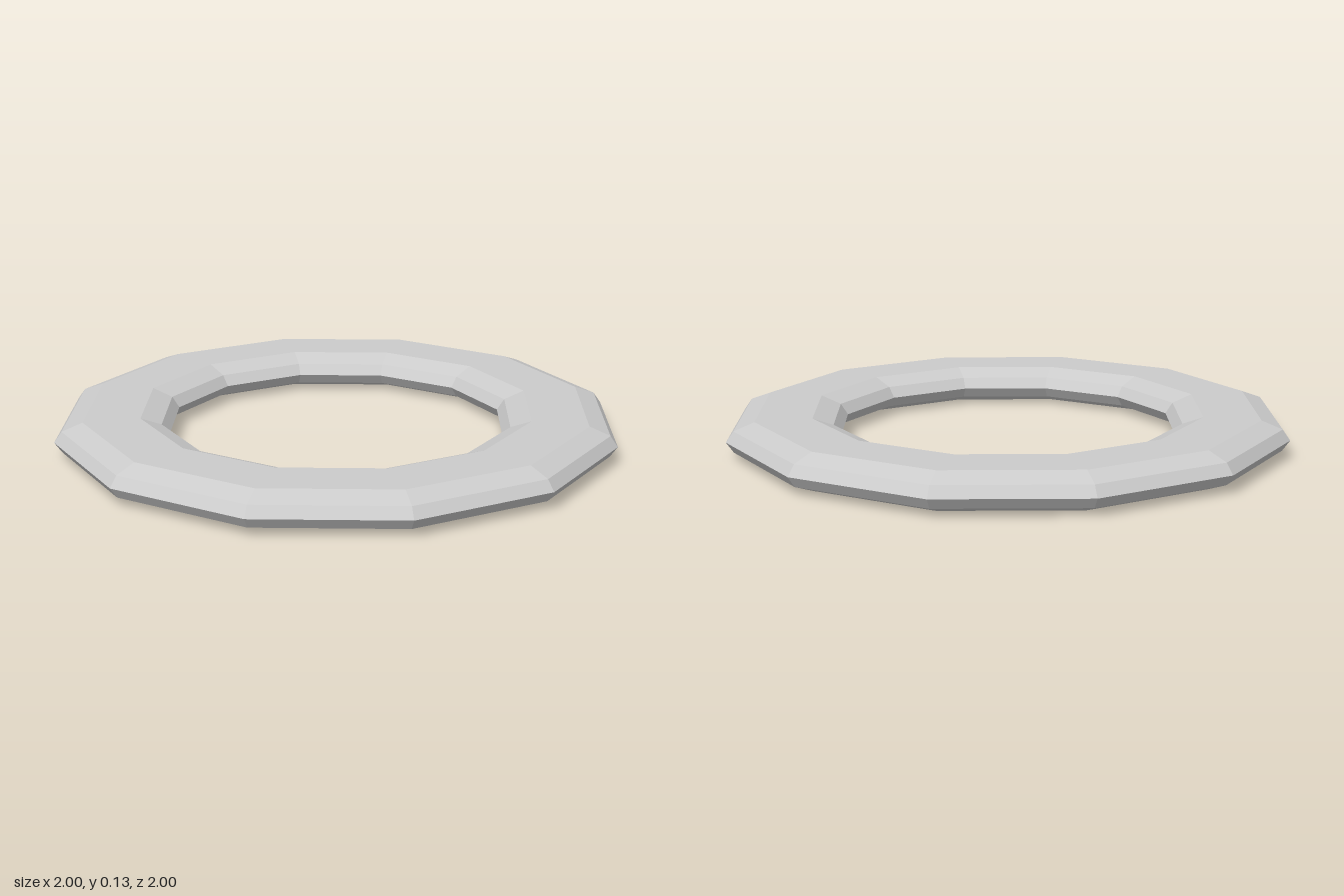
import * as THREE from 'three';

export function createModel() {
  const group = new THREE.Group();
  const radius = 0.8, halfWidth = 0.2, halfHeight = 0.065, sides = 12;

  // Closed cross-section: a flattened ten-sided oval with level top and bottom,
  // starting and ending at the outer rim.
  const profile = [0, 30, 60, 120, 150, 180, 210, 240, 300, 330, 360].map((deg) => {
    const a = THREE.MathUtils.degToRad(deg);
    return new THREE.Vector2(
      radius + halfWidth * Math.cos(a),
      halfHeight * (1 + Math.sin(a) / Math.sin(Math.PI / 3)),
    );
  });

  // Twelve-sided faceted ring
  const ring = new THREE.Mesh(
    new THREE.LatheGeometry(profile, sides),
    new THREE.MeshStandardMaterial({ color: 0xcccccc, flatShading: true }),
  );
  ring.name = 'ring';
  group.add(ring);
  return group;
}
